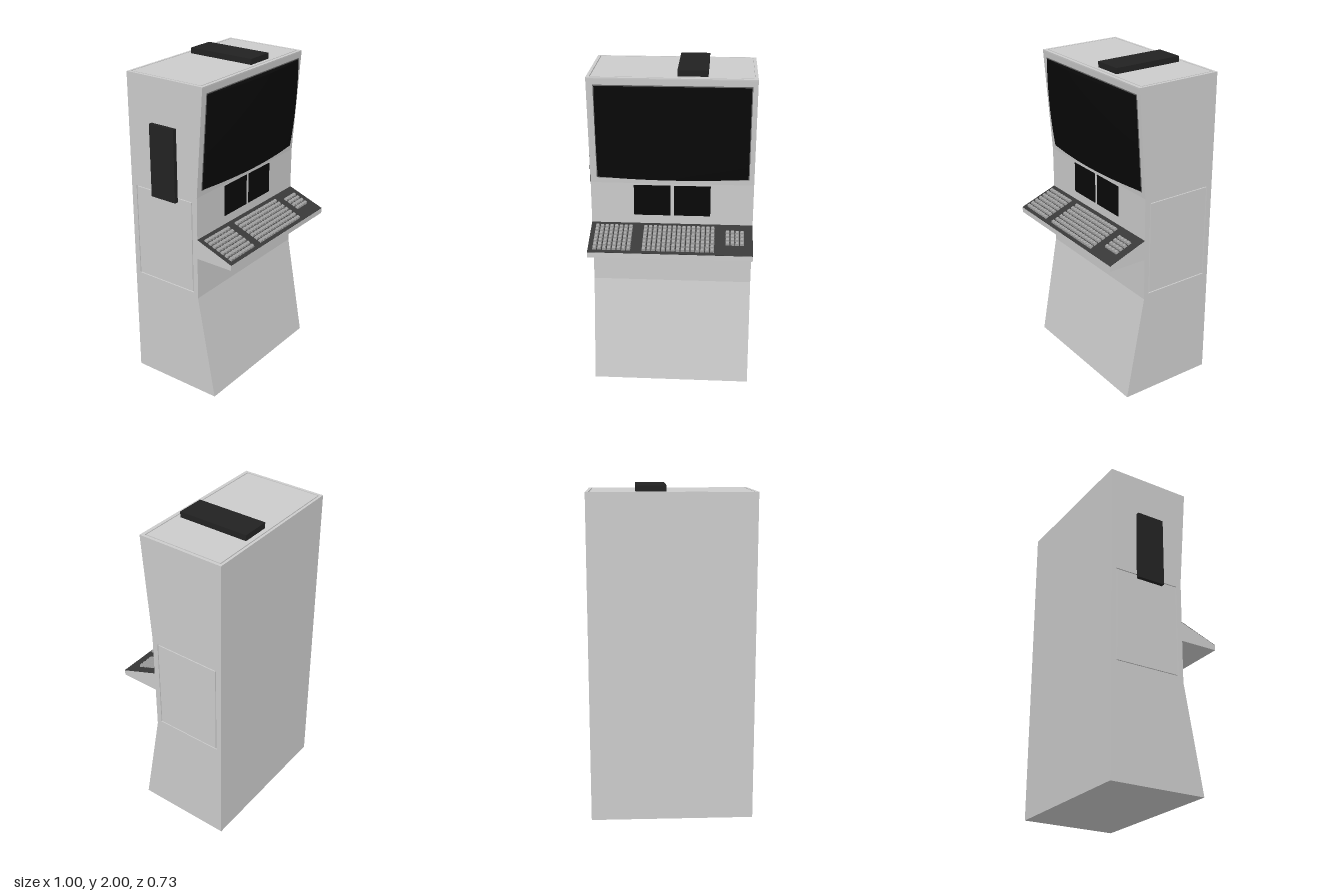
import * as THREE from 'three';
import { mergeGeometries } from 'three/addons/utils/BufferGeometryUtils.js';

const mat = (color) => new THREE.MeshStandardMaterial({ color });
const GREY = mat(0xcccccc), DARK = mat(0x222222), DECK = mat(0x383838);
const BLACK = mat(0x080808), KEY = mat(0xa0a0a0), TRIM = mat(0x666666);

const LEFT = 0.5, RIGHT = -0.48, BACK = -0.367, SKIN = 0.008, GAP = 0.006;
const MID = (LEFT + RIGHT) / 2;

function add(parent, name, geometry, material) {
  const mesh = new THREE.Mesh(geometry, material);
  mesh.name = name;
  parent.add(mesh);
  return mesh;
}

const polygon = (pts) => new THREE.Shape(pts.map(([a, b]) => new THREE.Vector2(a, b)));
const rect = (a0, b0, a1, b1) => polygon([[a0, b0], [a1, b0], [a1, b1], [a0, b1]]);

// Extrudes a (z, y) outline along x
function alongX(shape, x0, x1) {
  const g = new THREE.ExtrudeGeometry(shape, { depth: x1 - x0, bevelEnabled: false });
  return g.rotateY(-Math.PI / 2).translate(x1, 0, 0);
}

// Extrudes an (x, -z) outline along y
function alongY(shape, y0, y1) {
  const g = new THREE.ExtrudeGeometry(shape, { depth: y1 - y0, bevelEnabled: false });
  return g.rotateX(-Math.PI / 2).translate(0, y0, 0);
}

// Box given by its corner limits
function box(parent, name, x0, x1, y0, y1, z0, z1, material) {
  const mesh = add(parent, name, new THREE.BoxGeometry(x1 - x0, y1 - y0, z1 - z0), material);
  mesh.position.set((x0 + x1) / 2, (y0 + y1) / 2, (z0 + z1) / 2);
  return mesh;
}

function buildCabinet() {
  const cabinet = new THREE.Group();
  cabinet.name = 'cabinet';
  const top = 1.965 - SKIN;
  const outline = () => polygon([
    [BACK, 0], [0.24, 0], [0.122, 0.66], [0.125, 1.31], [0.1745, top], [BACK, top],
  ]);
  add(cabinet, 'cabinetCore', alongX(outline(), RIGHT + SKIN, LEFT - SKIN), GREY);

  // Side skins with a service panel set in a narrow groove
  for (const [side, x0] of [['left', LEFT - SKIN], ['right', RIGHT]]) {
    const skin = outline();
    skin.holes.push(rect(-0.332, 0.69, 0.09, 1.278));
    add(cabinet, side + 'Side', alongX(skin, x0, x0 + SKIN), GREY);
    const panel = rect(-0.332 + GAP, 0.69 + GAP, 0.09 - GAP, 1.278 - GAP);
    add(cabinet, side + 'ServicePanel', alongX(panel, x0, x0 + SKIN), GREY);
  }

  // Top rim and its inset lid
  const rim = rect(RIGHT, -0.175, LEFT, -BACK);
  rim.holes.push(rect(-0.462, -0.154, 0.482, 0.352));
  add(cabinet, 'topRim', alongY(rim, top, 1.965), GREY);
  add(cabinet, 'topLid', alongY(rect(-0.462 + GAP, -0.154 + GAP, 0.482 - GAP, 0.352 - GAP), top, 1.965), GREY);
  return cabinet;
}

// Main display, bulging across its width and slightly over its height
function buildScreen() {
  const screen = new THREE.Group();
  screen.name = 'mainScreen';
  const w = 0.9, h = 0.568;
  const glass = new THREE.BoxGeometry(w, h, 0.012, 32, 16, 1);
  const p = glass.attributes.position;
  for (let i = 0; i < p.count; i++) {
    if (p.getZ(i) < 0) continue;
    const u = p.getX(i) / (w / 2), v = p.getY(i) / (h / 2);
    p.setZ(i, 0.005 + 0.034 * (1 - u * u) + 0.013 * (1 - v * v));
  }
  glass.computeVertexNormals();
  add(screen, 'screenGlass', glass, BLACK);
  add(screen, 'screenSurround', new THREE.BoxGeometry(w + 0.012, h + 0.012, 0.004), TRIM);
  screen.position.set(0.015, 1.633, 0.15);
  screen.rotation.x = Math.atan2(0.05, 0.655);
  return screen;
}

function buildKeyboardShelf() {
  const shelf = new THREE.Group();
  shelf.name = 'keyboardShelf';
  const profile = polygon([[0.11, 0.925], [0.367, 0.925], [0.367, 0.958], [0.124, 1.048], [0.11, 1.048]]);
  add(shelf, 'shelfBody', alongX(profile, RIGHT, LEFT), GREY);

  // Sloping deck: local -z runs up the slope from the front lip
  const deck = new THREE.Group();
  deck.name = 'keyDeck';
  deck.position.set(0, 0.958, 0.367);
  deck.rotation.x = Math.atan2(0.09, 0.243);
  const length = Math.hypot(0.09, 0.243);
  box(deck, 'deckPlate', RIGHT, LEFT, -0.001, 0.002, -length, 0, DECK);

  // Key blocks: name, first x, columns, first row, last row
  const blocks = [
    ['rightKeys', -0.455, 8, 0, 7],
    ['mainKeys', -0.161, 15, 0, 7],
    ['leftKeys', 0.335, 4, 2, 6],
  ];
  const pitch = 0.029, rowPitch = 0.0308, r = Math.SQRT1_2;
  for (const [name, x, cols, row0, row1] of blocks) {
    const caps = [];
    for (let c = 0; c < cols; c++) {
      for (let row = row0; row < row1; row++) {
        const cap = new THREE.CylinderGeometry(0.017 * r, 0.024 * r, 0.014, 4).toNonIndexed();
        cap.rotateY(Math.PI / 4);
        cap.computeVertexNormals();
        cap.translate(x + (c + 0.5) * pitch, 0.009, -0.034 - row * rowPitch);
        caps.push(cap);
      }
    }
    add(deck, name, mergeGeometries(caps), KEY);
  }
  shelf.add(deck);
  return shelf;
}

export function createModel() {
  const model = new THREE.Group();
  model.name = 'consoleCabinet';
  model.add(buildCabinet(), buildScreen(), buildKeyboardShelf());

  // Pair of small flat displays under the main screen
  for (const [name, x] of [['smallScreenRight', -0.22], ['smallScreenLeft', 0.022]]) {
    box(model, name, x, x + 0.22, 1.105, 1.298, 0.115, 0.128, BLACK);
  }

  // Units mounted on the roof and on the right side
  box(model, 'roofUnit', 0.04, 0.217, 1.96, 2.0, -0.32, 0.124, DARK);
  box(model, 'sideUnit', -0.505, RIGHT + 0.002, 1.25, 1.695, -0.192, -0.015, DARK);

  return model;
}
